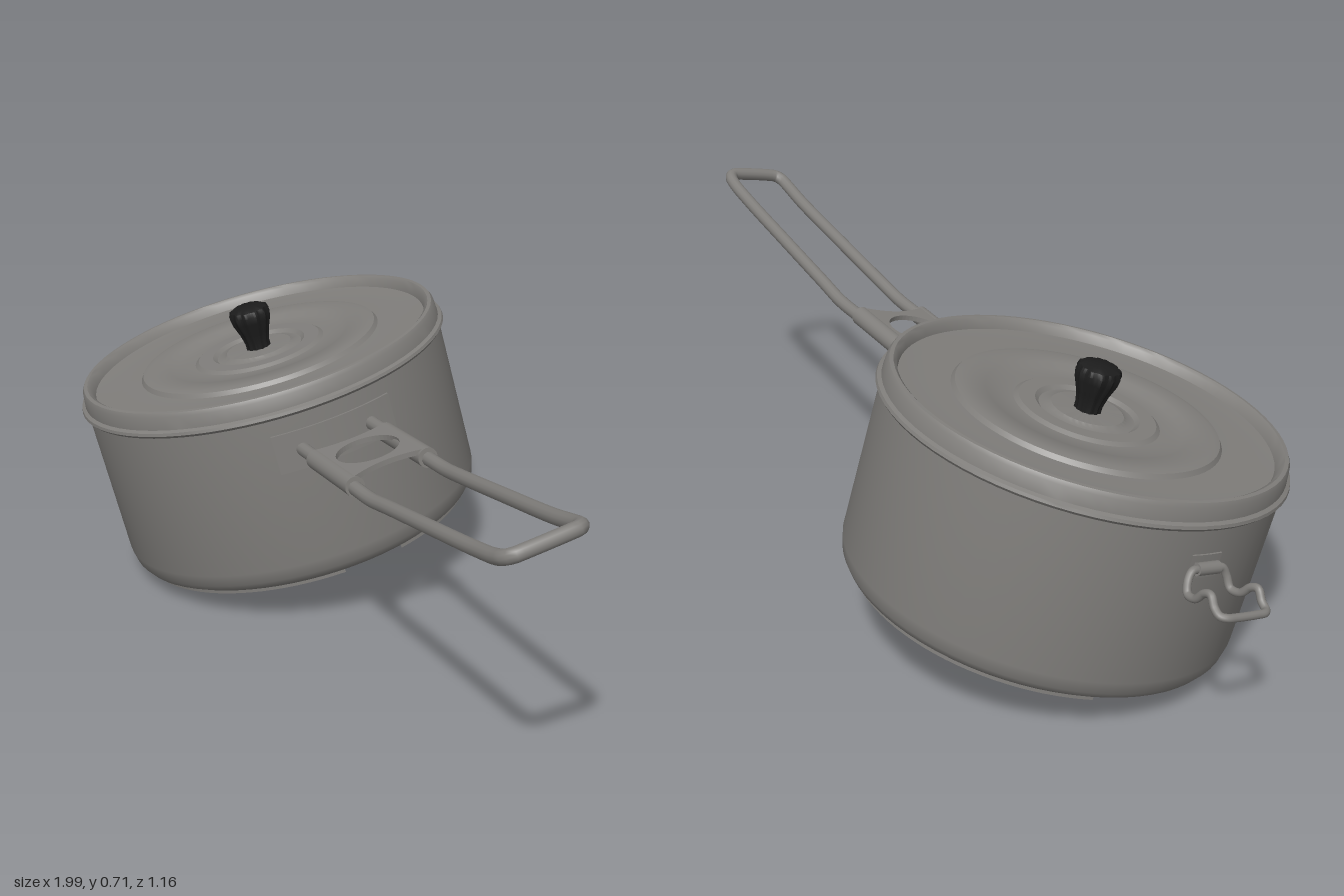
import * as THREE from 'three';
import { toCreasedNormals } from 'three/addons/utils/BufferGeometryUtils.js';

const metal = new THREE.MeshStandardMaterial({ color: 0x807e7b });
metal.name = 'grey metal';
const black = new THREE.MeshStandardMaterial({ color: 0x1c1c1c });
black.name = 'black knob plastic';

function part(name, geometry, material = metal) {
  const mesh = new THREE.Mesh(geometry, material);
  mesh.name = name;
  return mesh;
}

// Revolve [radius, height] pairs, keeping hard edges
function revolve(profile, start = 0, length = Math.PI * 2, segments = 72) {
  const pts = profile.map(([r, y]) => new THREE.Vector2(r, y));
  return toCreasedNormals(new THREE.LatheGeometry(pts, segments, start, length), 0.6);
}

// Thin curved band with a rectangular section
function band(r0, r1, y0, y1, start, length) {
  return revolve([[r0, y0], [r1, y0], [r1, y1], [r0, y1], [r0, y0]], start, length, 40);
}

// Wire through half a path, mirrored in z
function wire(half, radius, closed, segments) {
  const v = half.map(p => new THREE.Vector3(...p));
  const mirrored = v.map(p => new THREE.Vector3(p.x, p.y, -p.z)).reverse();
  const curve = new THREE.CatmullRomCurve3([...v, ...mirrored], closed, 'centripetal');
  return new THREE.TubeGeometry(curve, segments, radius, 12, closed);
}

export function createModel() {
  const root = new THREE.Group();
  root.name = 'saucepan';

  // Body frame: x toward the long handle, y along the tilted pot axis
  const pan = new THREE.Group();
  pan.name = 'pan';
  const up = new THREE.Vector3(-0.184, 0.97, 0.155).normalize();
  const out = new THREE.Vector3(0.919, 0.1135, 0.377);
  out.addScaledVector(up, -out.dot(up)).normalize();
  const side = new THREE.Vector3().crossVectors(out, up);
  pan.quaternion.setFromRotationMatrix(new THREE.Matrix4().makeBasis(out, up, side));
  pan.position.set(-0.36, 0.105, -0.14);
  root.add(pan);

  // Pot with rounded lower edge
  pan.add(part('potBody', revolve([
    [0, 0.008], [0.395, 0.008], [0.4, 0.003], [0.42, 0.004], [0.436, 0.014],
    [0.447, 0.03], [0.453, 0.06], [0.453, 0.435],
  ])));

  // Two raised arcs under the base
  const deg = Math.PI / 180;
  for (const [start, length] of [[-81, 163], [-257, 149]]) {
    pan.add(part('baseLip', band(0.4, 0.42, -0.004, 0.008, start * deg, length * deg)));
  }

  // Lid: rolled bead, raised rim and pressed rings
  pan.add(part('lid', revolve([
    [0.45, 0.428], [0.46, 0.429], [0.466, 0.436], [0.464, 0.443], [0.455, 0.447],
    [0.452, 0.478], [0.447, 0.487], [0.438, 0.488], [0.43, 0.482], [0.423, 0.462],
    [0.385, 0.459], [0.305, 0.461], [0.298, 0.471], [0.285, 0.474], [0.23, 0.472],
    [0.215, 0.463], [0.165, 0.462], [0.155, 0.469], [0.118, 0.469], [0.108, 0.461],
    [0.09, 0.463], [0.082, 0.469], [0, 0.469],
  ])));

  // Knob with shallow grip flutes
  const knob = new THREE.LatheGeometry([
    [0.03, 0.465], [0.03, 0.485], [0.036, 0.51], [0.047, 0.54],
    [0.05, 0.558], [0.046, 0.57], [0.032, 0.577], [0, 0.578],
  ].map(([r, y]) => new THREE.Vector2(r, y)), 60);
  const pos = knob.attributes.position;
  for (let i = 0; i < pos.count; i++) {
    const x = pos.getX(i), z = pos.getZ(i);
    const k = 1 + 0.05 * Math.cos(12 * Math.atan2(z, x));
    pos.setX(i, x * k);
    pos.setZ(i, z * k);
  }
  pan.add(part('lidKnob', toCreasedNormals(knob, 0.7), black));

  // Curved mounting plate
  pan.add(part('handleMount', band(0.448, 0.459, 0.295, 0.39, Math.PI / 2 - 0.336, 0.672)));

  // Long wire handle
  pan.add(part('longHandle', wire([
    [0.445, 0.342, 0.088], [0.6, 0.34, 0.088], [0.78, 0.336, 0.09], [0.86, 0.336, 0.09],
    [0.95, 0.345, 0.088], [1.15, 0.366, 0.086], [1.38, 0.391, 0.084], [1.47, 0.405, 0.084],
    [1.5, 0.412, 0.08], [1.515, 0.416, 0.068], [1.518, 0.417, 0.05],
  ], 0.016, false, 180)));

  // Clip: two sleeves joined by a pierced plate
  const clip = new THREE.Group();
  clip.name = 'handleClip';
  for (const s of [-1, 1]) {
    const sleeve = part('clipSleeve', new THREE.CylinderGeometry(0.023, 0.023, 0.235, 20));
    sleeve.rotation.z = Math.PI / 2;
    sleeve.position.set(0.648, 0.339, s * 0.089);
    clip.add(sleeve);
  }
  const shape = new THREE.Shape();
  shape.moveTo(0.53, -0.09);
  shape.lineTo(0.765, -0.09);
  shape.quadraticCurveTo(0.715, 0, 0.765, 0.09);
  shape.lineTo(0.53, 0.09);
  shape.quadraticCurveTo(0.56, 0, 0.53, -0.09);
  const hole = new THREE.Path();
  hole.absarc(0.642, 0, 0.073, 0, Math.PI * 2, true);
  shape.holes.push(hole);
  const plate = new THREE.ExtrudeGeometry(shape, { depth: 0.012, bevelEnabled: false, curveSegments: 24 });
  plate.rotateX(Math.PI / 2);
  plate.translate(0, 0.361, 0);
  clip.add(part('clipPlate', plate));
  pan.add(clip);

  // Small wire handle with its bracket on the opposite wall
  pan.add(part('smallHandle', wire([
    [-0.466, 0.343, 0.02], [-0.467, 0.342, 0.042], [-0.474, 0.325, 0.054], [-0.49, 0.303, 0.06],
    [-0.515, 0.308, 0.063], [-0.535, 0.333, 0.065], [-0.553, 0.34, 0.066], [-0.572, 0.322, 0.066],
    [-0.59, 0.314, 0.064], [-0.6, 0.314, 0.052], [-0.602, 0.314, 0.03],
  ], 0.009, true, 140)));
  const bracket = new THREE.Group();
  bracket.name = 'smallHandleBracket';
  bracket.add(part('bracketPlate', band(0.448, 0.457, 0.315, 0.37, -Math.PI / 2 - 0.09, 0.18)));
  const barrel = part('bracketBarrel', new THREE.CylinderGeometry(0.014, 0.014, 0.06, 16));
  barrel.rotation.x = Math.PI / 2;
  barrel.position.set(-0.465, 0.343, 0);
  bracket.add(barrel);
  pan.add(bracket);

  return root;
}
